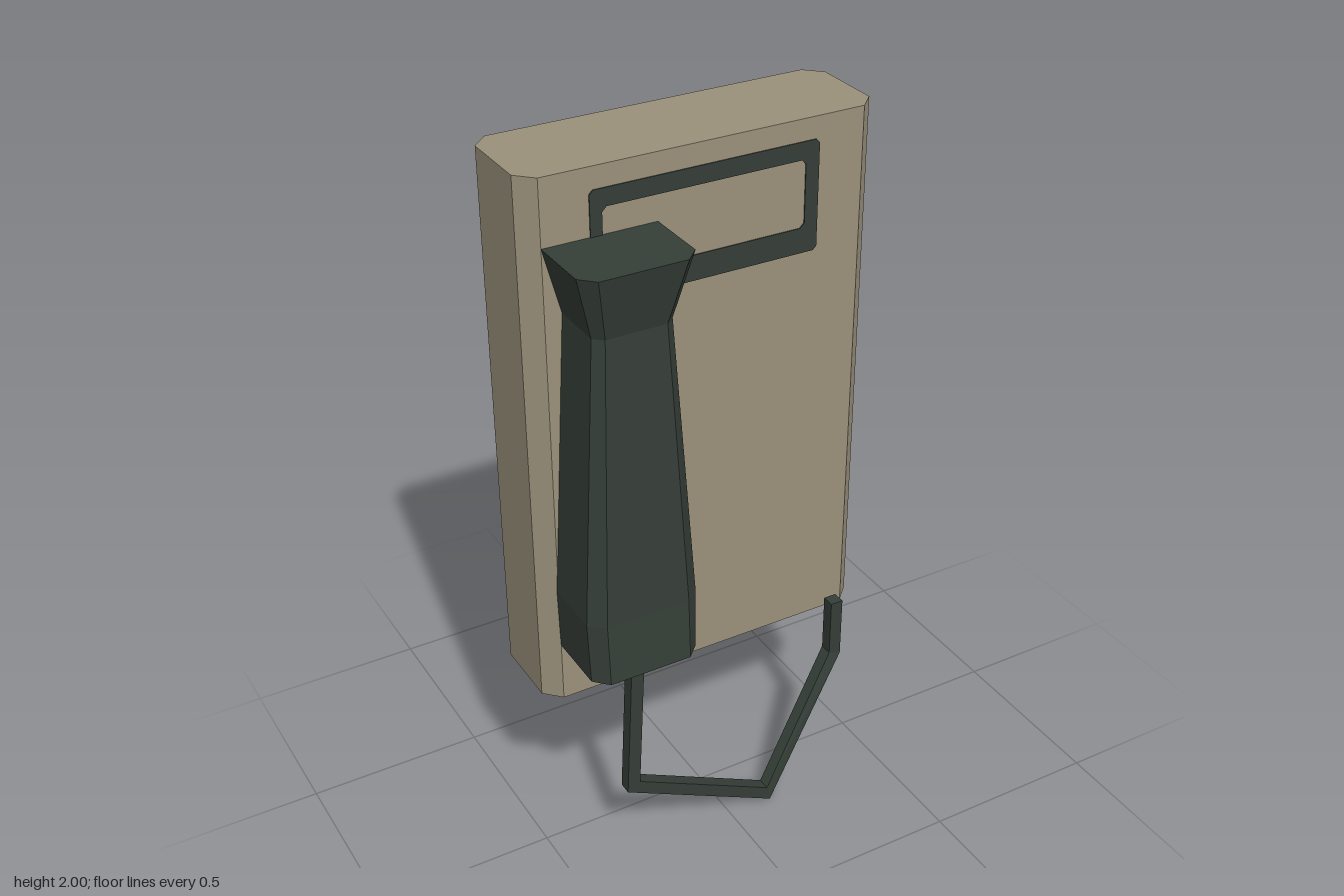
import * as THREE from 'three';

// Closed solid from matching cross-sections, each wound anticlockwise about the direction of travel
function loft(rings) {
  const pos = [], n = rings[0].length;
  const tri = (...pts) => pts.forEach(p => pos.push(...p));
  for (let i = 0; i < rings.length - 1; i++) {
    for (let j = 0; j < n; j++) {
      const k = (j + 1) % n;
      tri(rings[i][j], rings[i][k], rings[i + 1][k]);
      tri(rings[i][j], rings[i + 1][k], rings[i + 1][j]);
    }
  }
  const first = rings[0], last = rings[rings.length - 1];
  for (let j = 1; j < n - 1; j++) {
    tri(first[0], first[j + 1], first[j]);
    tri(last[0], last[j], last[j + 1]);
  }
  const geo = new THREE.BufferGeometry();
  geo.setAttribute('position', new THREE.Float32BufferAttribute(pos, 3));
  geo.computeVertexNormals();
  return geo;
}

// Rectangle with cut corners
function cutRect(path, x0, y0, x1, y1, c) {
  path.setFromPoints([
    [x0 + c, y0], [x1 - c, y0], [x1, y0 + c], [x1, y1 - c],
    [x1 - c, y1], [x0 + c, y1], [x0, y1 - c], [x0, y0 + c],
  ].map(p => new THREE.Vector2(...p)));
  path.closePath();
  return path;
}

export function createModel() {
  const model = new THREE.Group();
  const casing = new THREE.MeshStandardMaterial({ color: 0x9b917b });
  const dark = new THREE.MeshStandardMaterial({ color: 0x353e38 });
  casing.name = 'beige casing';
  dark.name = 'dark green plastic';
  const add = (name, geo, mat) => {
    const mesh = new THREE.Mesh(geo, mat);
    mesh.name = name;
    model.add(mesh);
    return mesh;
  };

  // Wall box with chamfered upright edges
  const bodyGeo = new THREE.ExtrudeGeometry(
    cutRect(new THREE.Shape(), -0.485, -0.035, 0.485, 0.25, 0.044),
    { depth: 1.49, bevelEnabled: false });
  bodyGeo.rotateX(-Math.PI / 2);
  add('body', bodyGeo, casing).position.y = 0.51;

  // Thin frame on the front
  const frame = cutRect(new THREE.Shape(), -0.315, 1.647, 0.313, 1.942, 0.01);
  frame.holes.push(cutRect(new THREE.Path(), -0.283, 1.715, 0.275, 1.895, 0.012));
  add('labelFrame', new THREE.ExtrudeGeometry(frame, { depth: 0.004, bevelEnabled: false }), dark)
    .position.z = 0.034;

  // Handset: [height, half width, front z, chamfer across, chamfer deep]
  const cx = -0.288, back = 0.034;
  const handset = [
    [0.685, 0.153, 0.247, 0.037, 0.038],
    [0.86, 0.157, 0.238, 0.04, 0.036],
    [1.65, 0.107, 0.206, 0.025, 0.022],
    [1.825, 0.153, 0.25, 0.037, 0.038],
  ].map(([y, w, f, a, d]) => [
    [cx + w, y, back], [cx - w, y, back], [cx - w, y, f - d],
    [cx - w + a, y, f], [cx + w - a, y, f], [cx + w, y, f - d],
  ]);
  add('handset', loft(handset), dark);

  // Cord: square section with mitred bends
  const path = [
    [-0.287, 0.70, 0.158], [-0.31, 0.243, 0.158], [0.125, 0.023, 0.158],
    [0.395, 0.372, 0.07], [0.395, 0.55, 0.07],
  ];
  const r = 0.0185;
  const dir = i => new THREE.Vector2(path[i + 1][0] - path[i][0], path[i + 1][1] - path[i][1]).normalize();
  const cord = path.map(([x, y, z], i) => {
    const a = dir(Math.max(i - 1, 0)), b = dir(Math.min(i, path.length - 2));
    const t = a.clone().add(b).normalize(), m = r / t.dot(a);
    return [[1, 1], [-1, 1], [-1, -1], [1, -1]].map(([u, v]) =>
      [x + t.y * m * v, y - t.x * m * v, z + u * r]);
  });
  add('cord', loft(cord), dark);

  return model;
}
